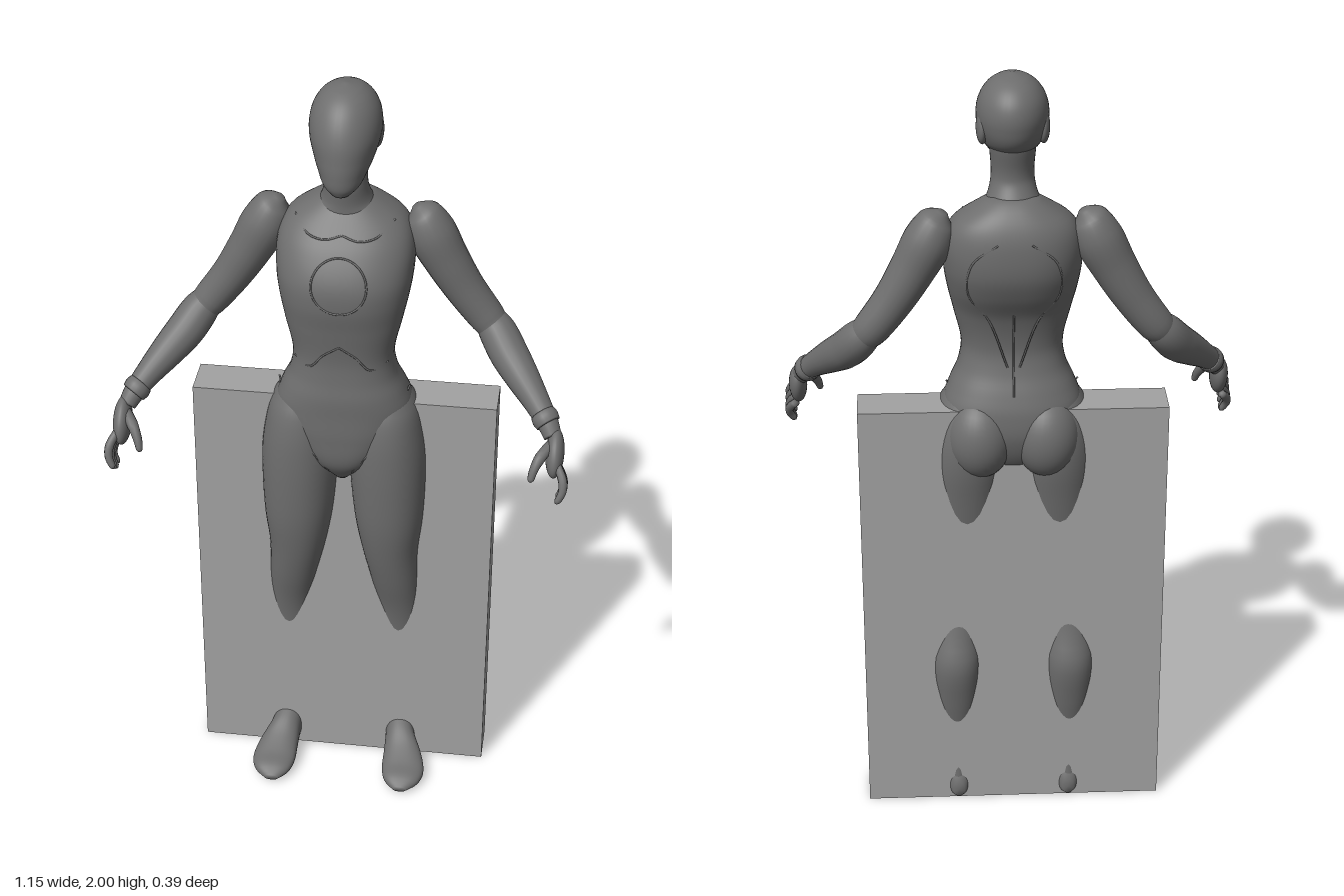
import * as THREE from 'three';

const figureMat = new THREE.MeshStandardMaterial({ color: 0x6e6e6e });
figureMat.name = 'dark grey';
const slabMat = new THREE.MeshStandardMaterial({ color: 0xa2a2a2 });
slabMat.name = 'light grey';

// Smooth interpolation of key rows by their first column.
function sample(keys, s) {
  let i = 0;
  while (i < keys.length - 2 && s > keys[i + 1][0]) i++;
  const a = keys[i], b = keys[i + 1], h = b[0] - a[0], t = (s - a[0]) / h;
  const slope = (k, c) => {
    const p = keys[Math.max(k - 1, 0)], q = keys[Math.min(k + 1, keys.length - 1)];
    return (q[c] - p[c]) / (q[0] - p[0]);
  };
  const t2 = t * t, t3 = t2 * t;
  return a.map((v, c) => (2 * t3 - 3 * t2 + 1) * v + (t3 - 2 * t2 + t) * h * slope(i, c)
    + (3 * t2 - 2 * t3) * b[c] + (t3 - t2) * h * slope(i + 1, c));
}

// Skin a list of closed rings, with both ends capped.
function skin(name, rings, flip = false) {
  const mid = r => {
    const c = r.reduce((s, p) => s.add(p), new THREE.Vector3()).divideScalar(r.length);
    return r.map(() => c);
  };
  const all = [mid(rings[0]), ...rings, mid(rings[rings.length - 1])], n = rings[0].length, idx = [];
  for (let i = 0; i < all.length - 1; i++) for (let j = 0; j < n; j++) {
    const k = (j + 1) % n, a = i * n + j, b = i * n + k, c = b + n, d = a + n;
    if (flip) idx.push(a, c, b, a, d, c); else idx.push(a, b, c, a, c, d);
  }
  const g = new THREE.BufferGeometry().setFromPoints(all.flat());
  g.setIndex(idx);
  g.computeVertexNormals();
  const m = new THREE.Mesh(g, figureMat);
  m.name = name;
  return m;
}

// Body volume from rows [position, centre x, half width, front, back]; alongZ lays it down.
function loft(name, keys, { power = 2, steps = 48, sides = 40, alongZ = false } = {}) {
  const rings = [], s0 = keys[0][0], s1 = keys[keys.length - 1][0];
  const pw = v => Math.sign(v) * Math.abs(v) ** (2 / power);
  for (let i = 0; i <= steps; i++) {
    const s = s0 + (s1 - s0) * i / steps, [, cx, w, f, b] = sample(keys, s), ring = [];
    for (let j = 0; j < sides; j++) {
      const a = j / sides * Math.PI * 2;
      const x = cx + w * pw(Math.sin(a)), d = (f + b) / 2 + (f - b) / 2 * pw(Math.cos(a));
      ring.push(alongZ ? new THREE.Vector3(x, d, s) : new THREE.Vector3(x, s, d));
    }
    rings.push(ring);
  }
  return skin(name, rings, alongZ);
}

// Round limb through rows [x, y, z, radius].
function limb(name, pts, steps = 40, sides = 20) {
  const curve = new THREE.CatmullRomCurve3(pts.map(p => new THREE.Vector3(p[0], p[1], p[2])));
  const radii = pts.map((p, i) => [i / (pts.length - 1), p[3]]), ref = new THREE.Vector3(1, 1, 0);
  const rings = [];
  for (let i = 0; i <= steps; i++) {
    const t = i / steps, c = curve.getPoint(t), T = curve.getTangent(t), r = sample(radii, t)[1];
    const N = ref.clone().cross(T).normalize(), B = T.clone().cross(N);
    rings.push(Array.from({ length: sides }, (_, j) => {
      const a = j / sides * Math.PI * 2;
      return c.clone().addScaledVector(N, r * Math.cos(a)).addScaledVector(B, r * Math.sin(a));
    }));
  }
  return skin(name, rings);
}

function ball(name, pos, scale, rx = 0) {
  const m = new THREE.Mesh(new THREE.SphereGeometry(1, 32, 20), figureMat);
  m.name = name;
  m.position.set(...pos);
  m.scale.set(...scale);
  m.rotation.x = rx;
  return m;
}

const TORSO = [
  [0.94, 0, 0.02, 0.02, -0.06], [1.0, 0, 0.09, 0.06, -0.13], [1.08, 0, 0.155, 0.07, -0.165],
  [1.15, 0, 0.172, 0.07, -0.165], [1.2, 0, 0.156, 0.07, -0.15], [1.25, 0, 0.134, 0.064, -0.13],
  [1.31, 0, 0.126, 0.062, -0.12], [1.4, 0, 0.145, 0.074, -0.14], [1.47, 0, 0.16, 0.085, -0.178],
  [1.53, 0, 0.168, 0.08, -0.2], [1.6, 0, 0.166, 0.045, -0.202], [1.65, 0, 0.142, 0.005, -0.19],
  [1.69, 0, 0.085, -0.03, -0.165], [1.71, 0, 0.05, -0.05, -0.14]];

// Fine raised seam laid on the torso through [x, y] points.
function seam(name, pts, side = 1, closed = false) {
  const on = pts.map(([x, y]) => {
    const [, , w, f, b] = sample(TORSO, y), k = (1 - Math.min(Math.abs(x) / w, 1) ** 2.4) ** (1 / 2.4);
    return new THREE.Vector3(x, y, (f + b) / 2 + side * (f - b) / 2 * k);
  });
  const path = new THREE.CatmullRomCurve3(on, closed);
  const m = new THREE.Mesh(new THREE.TubeGeometry(path, 48, 0.0025, 6, closed), figureMat);
  m.name = name;
  return m;
}

// Leg, foot, arm and hand of the left side.
function sideParts() {
  const g = new THREE.Group();
  g.add(loft('leg', [
    [0.03, 0.148, 0.028, -0.04, -0.138], [0.1, 0.147, 0.036, -0.025, -0.132], [0.2, 0.148, 0.044, -0.03, -0.126],
    [0.3, 0.148, 0.058, -0.03, -0.146], [0.42, 0.148, 0.066, -0.022, -0.165], [0.5, 0.145, 0.062, -0.008, -0.142],
    [0.6, 0.134, 0.065, 0.02, -0.118], [0.7, 0.122, 0.074, 0.043, -0.118], [0.8, 0.118, 0.088, 0.06, -0.127],
    [0.9, 0.115, 0.096, 0.067, -0.143], [1.0, 0.112, 0.099, 0.069, -0.16], [1.08, 0.11, 0.091, 0.065, -0.16],
    [1.15, 0.108, 0.074, 0.05, -0.14], [1.2, 0.1, 0.045, 0.02, -0.11]], { power: 2.1 }));
  g.add(ball('buttock', [0.083, 1.075, -0.105], [0.084, 0.11, 0.086]));

  // foot rows run heel to toe: [z, centre x, half width, top, sole]
  g.add(loft('foot', [
    [-0.142, 0.146, 0.015, 0.05, 0.008], [-0.12, 0.146, 0.032, 0.09, 0], [-0.06, 0.152, 0.038, 0.12, 0],
    [-0.01, 0.16, 0.041, 0.105, 0], [0.04, 0.172, 0.052, 0.075, 0], [0.09, 0.178, 0.057, 0.052, 0],
    [0.13, 0.178, 0.045, 0.04, 0.002], [0.156, 0.176, 0.018, 0.024, 0.008]], { power: 2.3, steps: 32, alongZ: true }));

  g.add(limb('upperArm', [
    [0.165, 1.672, -0.105, 0.012], [0.18, 1.65, -0.105, 0.045], [0.203, 1.6, -0.105, 0.06],
    [0.24, 1.53, -0.105, 0.056], [0.288, 1.45, -0.107, 0.05], [0.345, 1.373, -0.105, 0.045],
    [0.37, 1.345, -0.095, 0.038]]));
  g.add(limb('forearm', [
    [0.335, 1.385, -0.11, 0.032], [0.37, 1.345, -0.095, 0.046], [0.405, 1.3, -0.06, 0.048], [0.445, 1.26, -0.015, 0.042],
    [0.485, 1.22, 0.03, 0.033], [0.515, 1.185, 0.065, 0.027], [0.53, 1.16, 0.085, 0.022]]));
  g.add(limb('wristCuff', [[0.5, 1.202, 0.048, 0.031], [0.508, 1.194, 0.057, 0.034], [0.517, 1.184, 0.066, 0.031]], 8));
  g.add(ball('palm', [0.538, 1.127, 0.107], [0.023, 0.062, 0.042], -0.65));
  for (let k = 0; k < 4; k++) {
    const z = 0.15 - k * 0.017, y = 1.105 - k * 0.011, bend = k === 3 ? 0.8 : 1;
    g.add(limb('finger' + (k + 1), [
      [0.545, y + 0.01, z - 0.012, 0.01], [0.562, y - 0.02 * bend, z + 0.013, 0.011],
      [0.563, y - 0.045 * bend, z + 0.025, 0.01], [0.553, y - 0.068 * bend, z + 0.032, 0.008],
      [0.549, y - 0.074 * bend, z + 0.033, 0.003]], 16, 10));
  }
  g.add(limb('thumb', [
    [0.528, 1.15, 0.105, 0.014], [0.505, 1.135, 0.14, 0.014], [0.49, 1.107, 0.16, 0.011],
    [0.485, 1.085, 0.17, 0.008], [0.485, 1.08, 0.172, 0.003]], 16, 10));

  // side head panel and torso seams
  g.add(ball('earPanel', [0.072, 1.875, -0.085], [0.015, 0.042, 0.036]));
  g.add(seam('hipSeam', [[0.165, 1.2], [0.12, 1.11], [0.07, 1.04], [0.03, 0.98]]));
  g.add(seam('waistSeam', [[0.115, 1.3], [0.075, 1.29], [0.04, 1.33], [0, 1.36]]));
  g.add(seam('collarSeam', [[0.12, 1.66], [0.08, 1.635], [0.04, 1.63], [0, 1.64]]));
  g.add(seam('backSeam', [[0.04, 1.62], [0.1, 1.57], [0.11, 1.48], [0.06, 1.4], [0.015, 1.27]], -1));
  return g;
}

export function createModel() {
  const model = new THREE.Group();
  model.name = 'standingFigure';

  const slab = new THREE.Mesh(new THREE.BoxGeometry(0.77, 1.155, 0.111), slabMat);
  slab.name = 'slab';
  slab.position.set(0, 0.5775, -0.077);
  model.add(slab);

  model.add(loft('torso', TORSO, { power: 2.4, steps: 72, sides: 56 }));
  model.add(loft('neck', [
    [1.62, 0, 0.1, -0.02, -0.17], [1.67, 0, 0.088, -0.02, -0.16], [1.7, 0, 0.064, -0.02, -0.145],
    [1.75, 0, 0.052, -0.015, -0.12], [1.83, 0, 0.056, -0.02, -0.135]]));
  model.add(loft('head', [
    [1.76, 0, 0.022, 0.05, 0.0], [1.78, 0, 0.044, 0.06, -0.04], [1.81, 0, 0.061, 0.063, -0.105],
    [1.84, 0, 0.074, 0.062, -0.152], [1.89, 0, 0.086, 0.055, -0.173], [1.935, 0, 0.082, 0.037, -0.171],
    [1.97, 0, 0.064, 0.01, -0.15], [1.992, 0, 0.036, -0.025, -0.115], [2.0, 0, 0.006, -0.06, -0.075]], { steps: 64 }));

  // round chest panel outline and spine line
  const circle = Array.from({ length: 24 }, (_, i) => {
    const a = i / 24 * Math.PI * 2;
    return [0.067 * Math.cos(a), 1.53 + 0.067 * Math.sin(a)];
  });
  model.add(seam('chestRing', circle, 1, true));
  model.add(seam('spineSeam', [[0, 1.42], [0, 1.35], [0, 1.28], [0, 1.2]], -1));

  const left = sideParts(), right = sideParts();
  left.name = 'leftSide';
  right.name = 'rightSide';
  right.scale.x = -1;
  model.add(left, right);
  return model;
}
